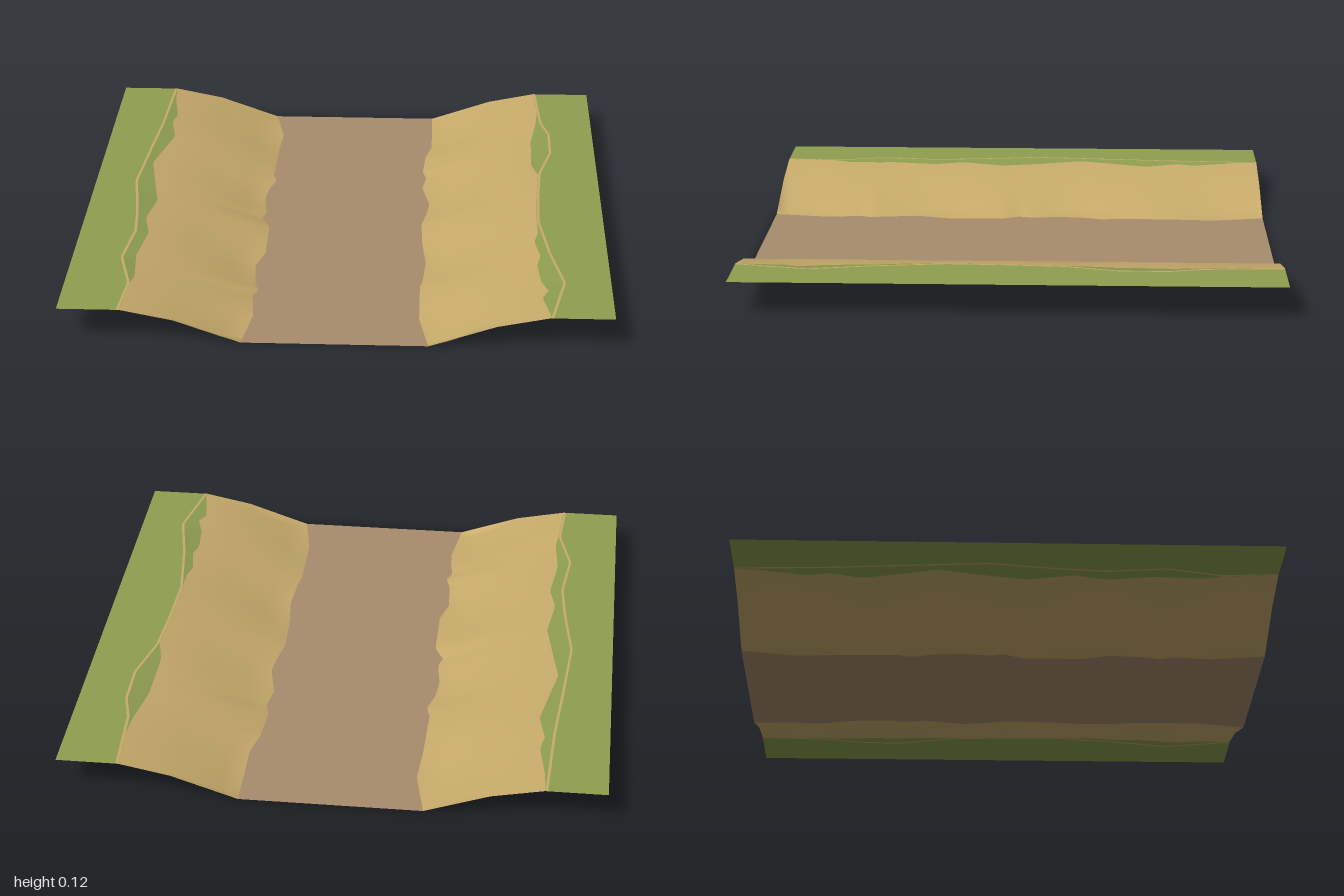
import * as THREE from 'three';

const SAND = 0xc8ab6b, GRASS = 0x8f9e50, BED = 0xa98d6e;
const ROWS = 100;

// Wavy boundary lines as [z, distance from the centre line]
const LEFT = {
  foot: [[-1, .34], [-.8, .3], [-.65, .31], [-.4, .315], [-.35, .3], [-.27, .325], [-.17, .335], [-.05, .32], [0, .335],
    [.07, .3], [.3, .3], [.4, .33], [.55, .32], [.6, .305], [.65, .325], [.72, .315], [.8, .31], [1, .34]],
  turf: [[-1, .775], [-.9, .77], [-.73, .745], [-.66, .76], [-.53, .735], [-.25, .795], [.08, .74], [.25, .765],
    [.37, .74], [.56, .765], [.73, .75], [.82, .765], [1, .78]],
  crest: [[-1, .78], [-.64, .795], [-.4, .815], [-.07, .84], [.19, .805], [.37, .79], [.59, .815], [.79, .765], [1, .78]],
};
const RIGHT = {
  foot: [[-1, .335], [-.7, .335], [-.6, .31], [-.45, .3], [-.4, .315], [-.3, .3], [-.15, .33], [-.07, .32], [.03, .3],
    [.2, .305], [.35, .32], [.5, .31], [.55, .3], [.8, .3], [1, .335]],
  turf: [[-1, .775], [-.88, .785], [-.69, .77], [-.53, .745], [-.29, .74], [-.18, .765], [.06, .755], [.2, .745],
    [.33, .745], [.39, .73], [.51, .75], [.57, .735], [.7, .745], [.78, .77], [.83, .745], [1, .775]],
  crest: [[-1, .775], [-.7, .79], [-.58, .82], [-.4, .82], [-.2, .77], [0, .757], [.23, .75], [.5, .785], [.73, .83], [1, .775]],
};

function sample(line, z) {
  for (let i = 1; i < line.length; i++) {
    const [z0, a] = line[i - 1], [z1, b] = line[i];
    if (z <= z1) return a + (b - a) * (z - z0) / (z1 - z0);
  }
  return line[line.length - 1][1];
}

// Cross-section of one bank at z, from the foot outward: [x, y]
function bankSection(side, z) {
  const foot = sample(side.foot, z), crest = sample(side.crest, z);
  const turf = Math.min(sample(side.turf, z), crest - .006);
  const midY = .085, topY = .124;
  const lowX = .41;
  const dip = Math.abs(z) > .99 ? 1 : .65 + .35 * Math.sin(z * 11 + 1);
  const lowY = midY * (lowX - foot) / (.58 - foot) * dip;
  const turfY = midY + (topY - midY) * (turf - .58) / (crest - .006 - .58);
  return [[foot, 0], [lowX, lowY], [.58, midY], [turf, turfY],
    [crest - .005, topY], [crest + .005, topY], [1, topY]];
}

// Ribbon along z through the given columns of the cross-section
function ribbon(name, color, section, columns) {
  const pos = [], index = [], n = columns.length;
  for (let r = 0; r <= ROWS; r++) {
    const z = -1 + 2 * r / ROWS, s = section(z);
    for (const c of columns) pos.push(s[c][0], s[c][1], z);
    if (r === ROWS) continue;
    for (let c = 0; c < n - 1; c++) {
      const a = r * n + c, b = a + n;
      index.push(a, b, a + 1, a + 1, b, b + 1);
    }
  }
  const geo = new THREE.BufferGeometry();
  geo.setAttribute('position', new THREE.Float32BufferAttribute(pos, 3));
  geo.setIndex(index);
  geo.computeVertexNormals();
  const mesh = new THREE.Mesh(geo, new THREE.MeshStandardMaterial({ color, side: THREE.DoubleSide }));
  mesh.name = name;
  return mesh;
}

export function createModel() {
  const model = new THREE.Group();
  model.name = 'riverbedTile';

  // Full section from -x to +x: seven points per bank
  const section = z => [
    ...bankSection(LEFT, z).map(([x, y]) => [-x, y]).reverse(),
    ...bankSection(RIGHT, z),
  ];

  model.add(ribbon('riverBed', BED, section, [6, 7]));
  // Each bank: sandy slope, turf fringe, thin sandy crest line, outer grass
  const parts = [['Slope', SAND, 0, 3], ['TurfFringe', GRASS, 3, 4], ['CrestLine', SAND, 4, 5], ['Grass', GRASS, 5, 6]];
  for (const [name, color, from, to] of parts) {
    const cols = [];
    for (let c = from; c <= to; c++) cols.push(c);
    model.add(ribbon('left' + name, color, section, cols.map(c => 7 + c)));
    model.add(ribbon('right' + name, color, section, cols.map(c => 6 - c).reverse()));
  }
  return model;
}
